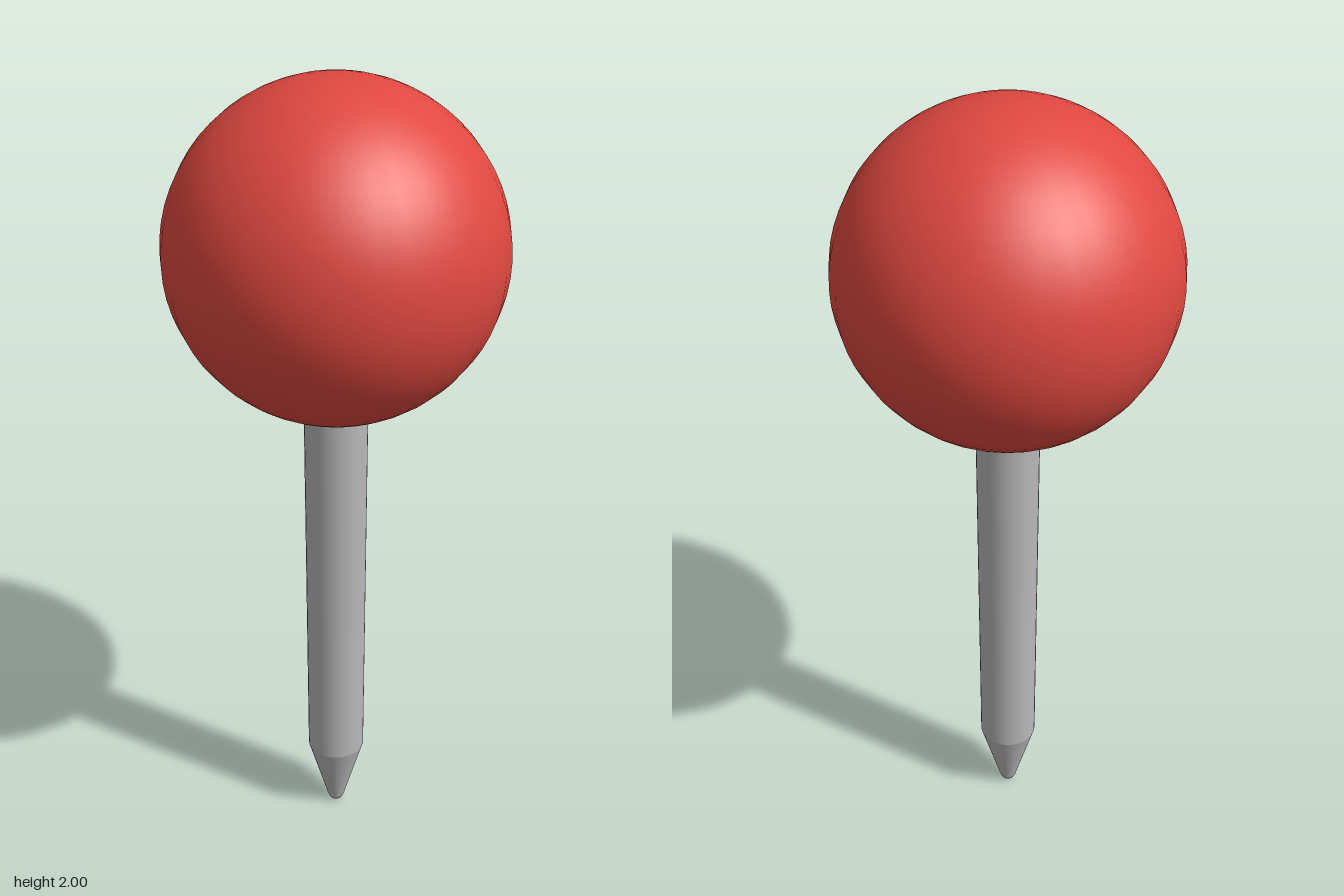
import * as THREE from 'three';

export function createModel() {
  const red = new THREE.MeshStandardMaterial({ color: 0xe04840 });
  red.name = 'red';
  const steel = new THREE.MeshStandardMaterial({ color: 0xb8b8b8 });
  steel.name = 'steel grey';

  const model = new THREE.Group();
  model.name = 'pin';
  const add = (name, geometry, material, y) => {
    const mesh = new THREE.Mesh(geometry, material);
    mesh.name = name;
    mesh.position.y = y;
    model.add(mesh);
  };

  // Round head
  add('head', new THREE.SphereGeometry(0.395, 32, 32), red, 1.605);

  // Slightly tapered shaft, running up into the head
  const bottom = 0.2, top = 1.26;
  add('shaft', new THREE.CylinderGeometry(0.077, 0.073, top - bottom, 32, 1, true), steel, (top + bottom) / 2);

  // Conical point with a small rounded end
  const tip = [[0, 0], [0.01, 0.002], [0.017, 0.007], [0.022, 0.018]];
  add('roundedEnd', new THREE.LatheGeometry(tip.map(([x, y]) => new THREE.Vector2(x, y)), 32), steel, 0);
  add('point', new THREE.CylinderGeometry(0.073, 0.022, bottom - 0.018, 32, 1, true), steel, (bottom + 0.018) / 2);

  return model;
}
